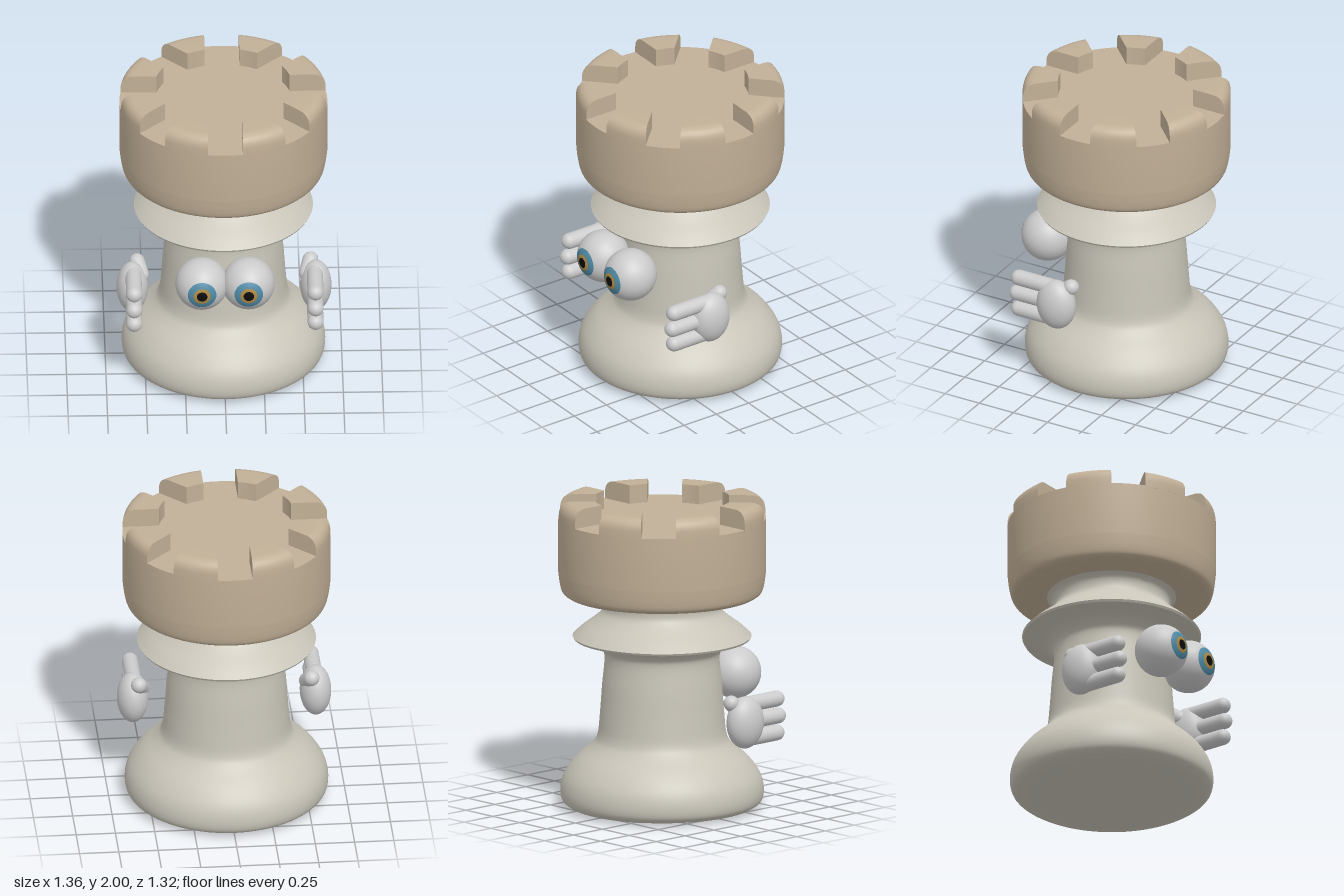
import * as THREE from 'three';
import { toCreasedNormals } from 'three/addons/utils/BufferGeometryUtils.js';

const material = (color) => new THREE.MeshStandardMaterial({ color });
const stone = material(0xc9c5b9);
const tan = material(0xc2b097);
const grey = material(0xcccccc);
const blue = material(0x4f8ba6);
const amber = material(0xb08a45);
const black = material(0x0c0c0c);

function add(parent, name, geometry, mat) {
  const mesh = new THREE.Mesh(geometry, mat);
  mesh.name = name;
  parent.add(mesh);
  return mesh;
}

const vectors = (points) => points.map(([r, y]) => new THREE.Vector2(r, y));
const smooth = (points, n) => new THREE.SplineCurve(vectors(points)).getPoints(n);
const lathe = (profile) => toCreasedNormals(new THREE.LatheGeometry(profile, 80), 0.7);

// Flared foot, tapering trunk, sharp collar and neck
function bodyGeometry() {
  const trunk = smooth([
    [0.59, 0.02], [0.635, 0.055], [0.645, 0.13], [0.62, 0.22], [0.55, 0.315], [0.45, 0.405],
    [0.41, 0.47], [0.395, 0.6], [0.38, 0.8], [0.365, 0.97], [0.385, 1.03], [0.45, 1.075], [0.56, 1.098],
  ], 60);
  const neck = smooth([
    [0.568, 1.112], [0.51, 1.165], [0.43, 1.225], [0.38, 1.275], [0.37, 1.32], [0.38, 1.36], [0.41, 1.385],
  ], 24);
  return lathe([...vectors([[0, 0.005], [0.4, 0.005]]), ...trunk, ...neck]);
}

// Drum of the tower, closed by a flat floor
function crownGeometry() {
  const side = smooth([[0.605, 1.382], [0.635, 1.405], [0.65, 1.46], [0.66, 1.54]], 14);
  return lathe([...vectors([[0, 1.385], [0.4, 1.385]]), ...side, ...vectors([[0.66, 1.88], [0, 1.88]])]);
}

// One battlement: radial profile swept round, its ends parallel to the gaps
function merlonGeometry(angle) {
  const shape = new THREE.Shape();
  shape.moveTo(0.435, 1.87);
  shape.lineTo(0.66, 1.87);
  shape.lineTo(0.66, 1.92);
  shape.quadraticCurveTo(0.655, 2, 0.575, 2);
  shape.lineTo(0.435, 2);
  shape.closePath();
  const geometry = new THREE.ExtrudeGeometry(shape, { depth: 1, steps: 10, bevelEnabled: false, curveSegments: 8 });
  const p = geometry.attributes.position;
  for (let i = 0; i < p.count; i++) {
    const r = p.getX(i);
    const a = angle + (2 * p.getZ(i) - 1) * (Math.PI / 8 - Math.asin(0.11 / r));
    p.setXYZ(i, r * Math.cos(a), p.getY(i), r * Math.sin(a));
  }
  return toCreasedNormals(geometry, 0.6);
}

// Eyeball with iris rings as zones of one sphere, its pole facing forward
function createEye(name, x) {
  const eye = new THREE.Group();
  eye.name = name;
  const zones = [
    ['pupil', 0, 0.2, black],
    ['innerIris', 0.2, 0.33, amber],
    ['iris', 0.33, 0.57, blue],
    ['eyeball', 0.57, Math.PI, grey],
  ];
  for (const [part, from, to, mat] of zones) {
    const zone = new THREE.SphereGeometry(0.168, 40, part === 'eyeball' ? 24 : 5, 0, Math.PI * 2, from, to - from);
    add(eye, part, zone.rotateX(Math.PI / 2), mat);
  }
  eye.position.set(x, 0.825, 0.492);
  return eye;
}

// Capsule between two end-ball centres
function digit(parent, name, from, to, radius) {
  const a = new THREE.Vector3(...from);
  const b = new THREE.Vector3(...to);
  const axis = b.clone().sub(a);
  const mesh = add(parent, name, new THREE.CapsuleGeometry(radius, axis.length(), 8, 20), grey);
  mesh.position.copy(a).add(b).multiplyScalar(0.5);
  mesh.quaternion.setFromUnitVectors(new THREE.Vector3(0, 1, 0), axis.normalize());
}

// Floating hand: egg-shaped palm, three fingers forward, thumb behind
function createHand(name, s) {
  const hand = new THREE.Group();
  hand.name = name;
  const palm = add(hand, 'palm', new THREE.SphereGeometry(1, 32, 24), grey);
  palm.scale.set(0.1, 0.168, 0.133);
  palm.position.set(s * 0.582, 0.613, 0.178);
  [[0.725, 0.455], [0.614, 0.468], [0.505, 0.455]].forEach(([y, tip], i) =>
    digit(hand, 'finger' + (i + 1), [s * 0.575, y, 0.22], [s * 0.575, y, tip], 0.051));
  digit(hand, 'thumb', [s * 0.55, 0.745, 0.087], [s * 0.525, 0.69, 0.16], 0.05);
  return hand;
}

export function createModel() {
  const model = new THREE.Group();
  model.name = 'rookFigure';
  add(model, 'body', bodyGeometry(), stone);

  const crown = new THREE.Group();
  crown.name = 'crown';
  add(crown, 'drum', crownGeometry(), tan);
  for (let i = 0; i < 8; i++) {
    add(crown, 'battlement' + (i + 1), merlonGeometry(Math.PI / 8 + i * Math.PI / 4), tan);
  }
  model.add(crown);

  for (const [side, s] of [['left', 1], ['right', -1]]) {
    model.add(createEye(side + 'Eye', s * 0.148));
    model.add(createHand(side + 'Hand', s));
  }
  return model;
}
